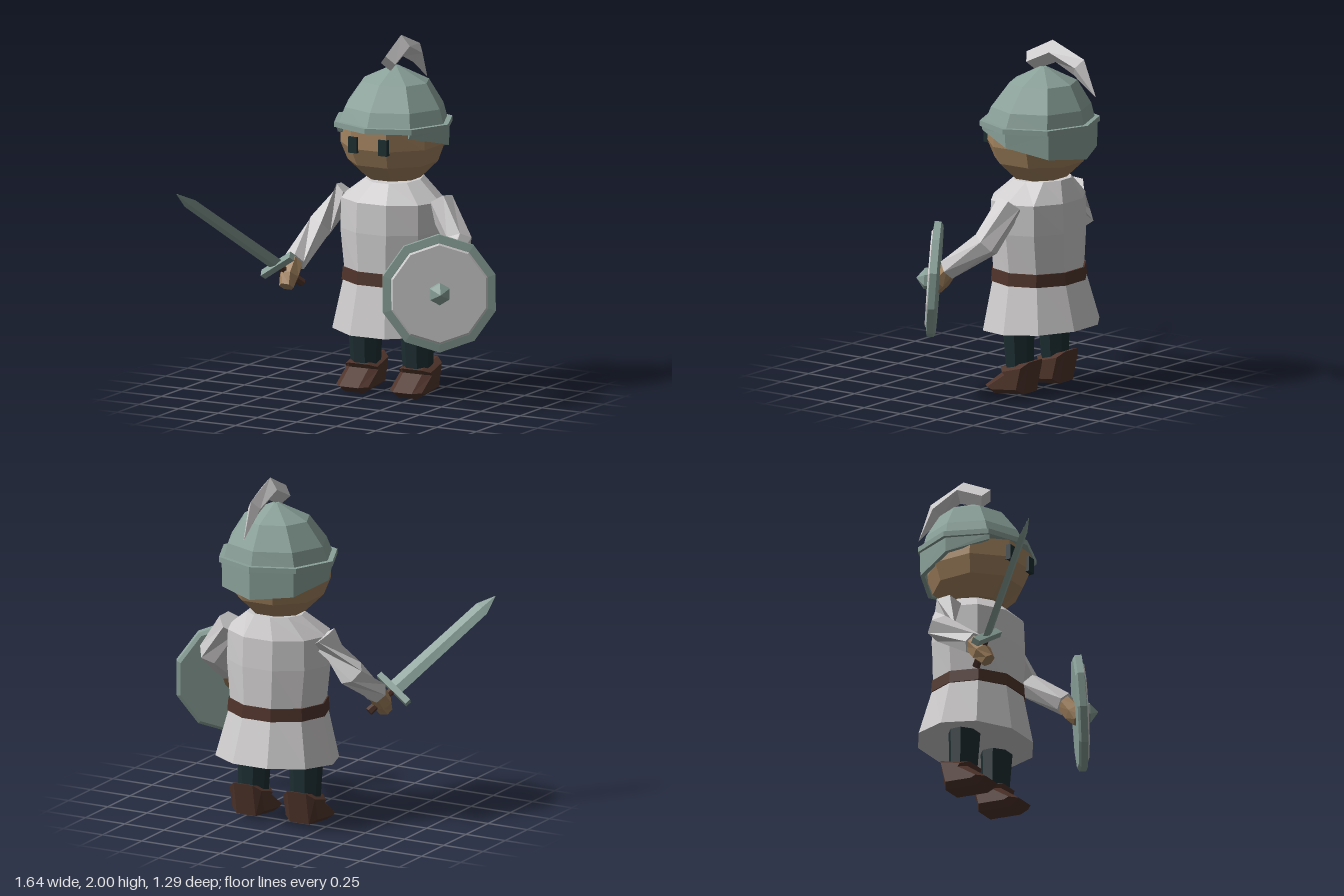
import * as THREE from 'three';

const V = (x, y, z) => new THREE.Vector3(x, y, z);
const CX = 0.05; // mirror plane of the body

const mat = (name, color) => Object.assign(new THREE.MeshStandardMaterial({ color }), { name });

// One oriented elliptical ring of n points
function ring(c, dir, rx, rz, n, phase = 0) {
  const q = new THREE.Quaternion().setFromUnitVectors(V(0, 1, 0), dir.clone().normalize());
  return Array.from({ length: n }, (_, i) => {
    const a = ((i + phase) / n) * Math.PI * 2;
    return V(Math.sin(a) * rx, 0, Math.cos(a) * rz).applyQuaternion(q).add(c);
  });
}

// Skin a list of rings and close both ends
function loft(rings) {
  const pos = [];
  const tri = (...p) => p.forEach((v) => pos.push(v.x, v.y, v.z));
  const n = rings[0].length;
  for (let r = 0; r < rings.length - 1; r++) {
    for (let i = 0; i < n; i++) {
      const a = rings[r][i], b = rings[r][(i + 1) % n];
      const c = rings[r + 1][(i + 1) % n], d = rings[r + 1][i];
      tri(a, b, d);
      tri(c, d, b);
    }
  }
  [rings[0], rings[rings.length - 1]].forEach((end, k) => {
    const mid = end.reduce((s, p) => s.add(p), V(0, 0, 0)).divideScalar(n);
    end.forEach((p, i) => (k ? tri(mid, p, end[(i + 1) % n]) : tri(mid, end[(i + 1) % n], p)));
  });
  const g = new THREE.BufferGeometry();
  g.setAttribute('position', new THREE.Float32BufferAttribute(pos, 3));
  return g;
}

// Upright body from rows of [y, centre z, rx, rz, forward tilt]
const stack = (rows, n, phase, cx = CX) =>
  loft(rows.map(([y, z, rx, rz, t = 0]) => ring(V(cx, y, z), V(0, 1, t), rx, rz, n, phase)));

// Limb along a path of [x, y, z, radius]
function limb(path, n) {
  const p = path.map(([x, y, z]) => V(x, y, z));
  return loft(p.map((c, i) => {
    const dir = p[Math.min(i + 1, p.length - 1)].clone().sub(p[Math.max(i - 1, 0)]);
    return ring(c, dir, path[i][3], path[i][3], n, 0.5);
  }));
}

const lathe = (pts, n) =>
  new THREE.LatheGeometry(pts.map(([x, y]) => new THREE.Vector2(x, y)), n).rotateX(Math.PI / 2);

export function createModel() {
  const model = new THREE.Group();
  model.name = 'knight';
  const cloth = mat('pale cloth', 0xcfcdcd);
  const metal = mat('green steel', 0x8aa199);
  const skin = mat('skin', 0xa3835f);
  const leather = mat('brown leather', 0x4f342b);
  const dark = mat('dark cloth', 0x1d2e31);

  // Faceted mesh
  const add = (name, geo, material, parent = model) => {
    const g = geo.index ? geo.toNonIndexed() : geo;
    g.computeVertexNormals();
    const m = new THREE.Mesh(g, material);
    m.name = name;
    parent.add(m);
    return m;
  };

  // Tunic and belt
  add('tunic', stack([
    [0.372, -0.27, 0.355, 0.325, 0.055], [0.68, -0.255, 0.277, 0.25], [0.93, -0.25, 0.305, 0.257],
    [1.1, -0.25, 0.3, 0.25], [1.21, -0.28, 0.16, 0.17, 0.06],
  ], 10, 0.5), cloth);
  add('belt', stack([[0.638, -0.255, 0.295, 0.265], [0.71, -0.255, 0.288, 0.26]], 10, 0.5), leather);

  // Head and eyes
  add('head', stack([
    [1.215, -0.26, 0.155, 0.15], [1.31, -0.255, 0.252, 0.255], [1.41, -0.25, 0.29, 0.295],
    [1.54, -0.25, 0.285, 0.295],
  ], 8, 0.5), skin);
  for (const s of [-1, 1]) {
    add('eye', new THREE.BoxGeometry(0.055, 0.09, 0.035).translate(CX + s * 0.095, 1.435, 0.02), dark);
  }

  // Helmet dome and rim
  add('helmetDome', stack([
    [1.53, -0.26, 0.32, 0.305], [1.62, -0.27, 0.29, 0.275], [1.755, -0.285, 0.197, 0.187],
    [1.84, -0.285, 0.02, 0.02],
  ], 8, 0), metal);
  add('helmetRim', stack([[1.512, -0.26, 0.347, 0.33], [1.542, -0.26, 0.347, 0.33]], 8, 0), metal);

  // Neck guard: open over the face, lower towards the back
  const guardRings = [];
  for (let i = 1; i <= 7; i++) {
    const a = (i * Math.PI) / 4;
    const at = (r, y) => V(CX + Math.sin(a) * r, y, -0.26 + Math.cos(a) * r);
    const low = 1.43 + 0.25 * Math.cos(a) * 0.32;
    guardRings.push([at(0.325, 1.515), at(0.322, low), at(0.297, low), at(0.297, 1.515)]);
  }
  add('neckGuard', loft(guardRings), metal);

  // Plume: diamond sections, each [top z, top y, bottom z, bottom y, half width]
  add('plume', loft([
    [-0.17, 1.91, -0.23, 1.815, 0.045], [-0.35, 2.0, -0.37, 1.875, 0.05],
    [-0.565, 1.915, -0.49, 1.82, 0.038], [-0.645, 1.715, -0.643, 1.713, 0.002],
  ].map(([tz, ty, bz, by, w]) => {
    const z = (tz + bz) / 2, y = (ty + by) / 2;
    return [V(CX, ty, tz), V(CX + w, y, z), V(CX, by, bz), V(CX - w, y, z)];
  })), cloth);

  // Arms, hands, legs and boots
  const boot = new THREE.Shape([
    [-0.355, 0.205], [-0.32, 0.02], [-0.12, 0], [-0.055, 0.04], [-0.175, 0.13], [-0.16, 0.155],
  ].map(([z, y]) => new THREE.Vector2(-z, y)));
  for (const s of [-1, 1]) {
    const side = s < 0 ? 'right' : 'left';
    const x = (d) => CX + s * d;
    add(side + 'Arm', limb([
      [x(0.29), 1.1, -0.265, 0.08], [x(0.44), 0.9, -0.215, 0.08], [x(0.47), 0.735, 0.02, 0.066],
    ], 6), cloth);
    add(side + 'Hand', limb([
      [x(0.47), 0.755, 0.0, 0.05], [x(0.475), 0.665, 0.075, 0.058], [x(0.47), 0.61, 0.115, 0.042],
    ], 6), skin);
    add(side + 'Leg', stack([[0.12, -0.245, 0.085, 0.075], [0.42, -0.235, 0.102, 0.09]], 8, 0.5, x(0.165)), dark);
    const g = new THREE.ExtrudeGeometry(boot, {
      depth: 0.12, bevelEnabled: true, bevelSegments: 1, bevelThickness: 0.042, bevelSize: 0.03, bevelOffset: -0.03,
    });
    add(side + 'Boot', g.translate(0, 0, -0.06).rotateY(Math.PI / 2).translate(x(0.17), 0, 0), leather);
  }

  // Shield
  const shield = new THREE.Group();
  shield.name = 'shield';
  shield.position.set(0.54, 0.667, 0.1);
  shield.rotation.set(-0.07, 0.6, 0, 'YXZ');
  model.add(shield);
  add('shieldRim', lathe([[0, -0.025], [0.31, -0.025], [0.33, -0.012], [0.33, 0.025], [0.285, 0.03], [0, 0.03]], 10), metal, shield);
  add('shieldFace', lathe([[0.285, 0.028], [0.272, 0.038], [0, 0.038]], 10), cloth, shield);
  add('shieldBoss', lathe([[0.065, 0.03], [0.06, 0.06], [0, 0.105]], 6), metal, shield);

  // Sword, built upright and then turned along the blade direction
  const sword = new THREE.Group();
  sword.name = 'sword';
  const up = V(-0.36, 0.46, 0.51).normalize();
  const across = V(0.2, 0.125, 0.02);
  across.addScaledVector(up, -across.dot(up)).normalize();
  sword.quaternion.setFromRotationMatrix(
    new THREE.Matrix4().makeBasis(across, up, across.clone().cross(up)));
  sword.position.set(-0.465, 0.73, 0.133);
  model.add(sword);
  add('blade', stack([[0, 0, 0.047, 0.014], [0.67, 0, 0.043, 0.012], [0.775, 0, 0.001, 0.001]], 4, 0, 0), metal, sword);
  add('crossguard', new THREE.BoxGeometry(0.235, 0.035, 0.045), metal, sword);
  add('grip', new THREE.CylinderGeometry(0.02, 0.024, 0.18, 6).translate(0, -0.1, 0), leather, sword);

  return model;
}
